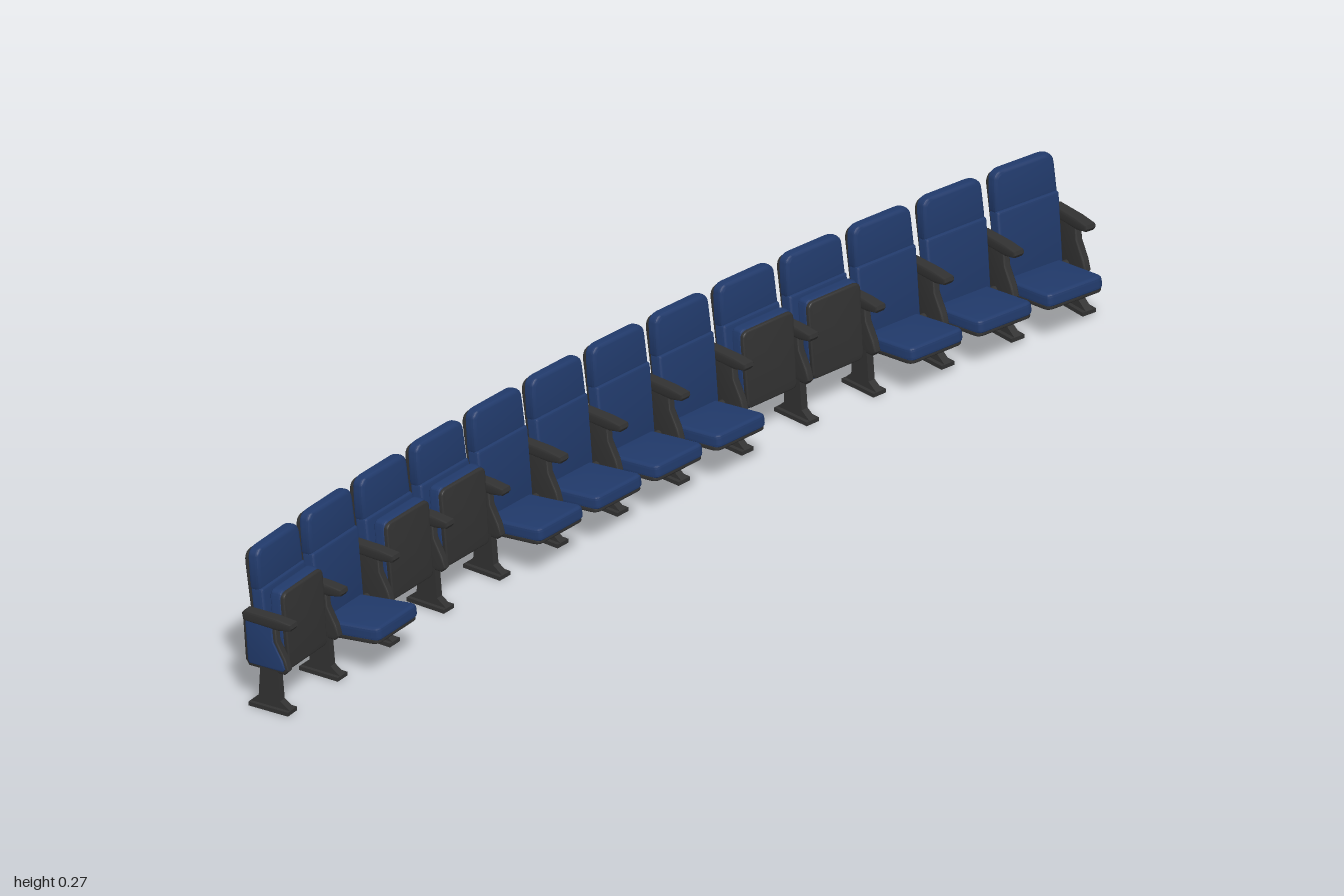
import * as THREE from 'three';
import { toCreasedNormals } from 'three/addons/utils/BufferGeometryUtils.js';

const fabric = new THREE.MeshStandardMaterial({ color: 0x213a6b });
fabric.name = 'blue fabric';
const plastic = new THREE.MeshStandardMaterial({ color: 0x313131 });
plastic.name = 'charcoal plastic';

const SEATS = 13, RADIUS = 5.8, STEP = 0.0262;
const FOLDED = [0, 2, 3, 8, 9];

function mesh(name, geometry, material, x = 0, y = 0, z = 0) {
  const m = new THREE.Mesh(geometry, material);
  m.name = name;
  m.position.set(x, y, z);
  return m;
}

// Extrudes a shape to a total depth with rounded edges, centred on z
function extrude(shape, depth, bevel) {
  const g = new THREE.ExtrudeGeometry(shape, {
    depth: depth - 2 * bevel, bevelEnabled: bevel > 0, bevelThickness: bevel,
    bevelSize: bevel, bevelOffset: -bevel, bevelSegments: 3, curveSegments: 5,
  });
  g.translate(0, 0, -depth / 2 + bevel);
  return toCreasedNormals(g, 0.7);
}

// Padded slab standing on y = 0, with its own bottom and top widths and corner radii
function pad(w0, w1, h, d, r0, r1, bevel) {
  const a = w0 / 2, b = w1 / 2, s = new THREE.Shape();
  s.moveTo(-a + r0, 0);
  s.lineTo(a - r0, 0);
  s.quadraticCurveTo(a, 0, a, r0);
  s.lineTo(b, h - r1);
  s.quadraticCurveTo(b, h, b - r1, h);
  s.lineTo(-b + r1, h);
  s.quadraticCurveTo(-b, h, -b, h - r1);
  s.lineTo(-a, r0);
  s.quadraticCurveTo(-a, 0, -a + r0, 0);
  return extrude(s, d, bevel);
}

// Side profile given as [z, y] points, extruded across x
function sideProfile(points, width, bevel) {
  const s = new THREE.Shape(points.map(([z, y]) => new THREE.Vector2(z, y)));
  return extrude(s, width, bevel).rotateY(-Math.PI / 2);
}

const geo = {
  // Backrest
  lowerPad: pad(0.128, 0.132, 0.142, 0.024, 0.012, 0.006, 0.006),
  headPad: pad(0.132, 0.128, 0.074, 0.022, 0.006, 0.022, 0.007),
  backShell: pad(0.108, 0.122, 0.192, 0.014, 0.012, 0.02, 0.004),
  // Seat pan, laid flat and reaching forward
  cushion: pad(0.118, 0.12, 0.145, 0.024, 0.012, 0.014, 0.007).rotateX(Math.PI / 2),
  panShell: pad(0.114, 0.118, 0.138, 0.009, 0.01, 0.014, 0.003).rotateX(Math.PI / 2),
  // Stand
  foot: new THREE.BoxGeometry(0.028, 0.007, 0.077),
  post: sideProfile([[-0.038, 0], [0.038, 0], [0.038, 0.007], [0.019, 0.02], [0.014, 0.075],
    [-0.02, 0.075], [-0.023, 0.02], [-0.038, 0.007]], 0.014, 0),
  panel: sideProfile([[-0.042, 0.07], [0.027, 0.07], [0.035, 0.079], [0.029, 0.098], [0.012, 0.128],
    [0.008, 0.165], [0.003, 0.17], [-0.05, 0.17], [-0.055, 0.162], [-0.049, 0.08]], 0.014, 0.003),
  inset: sideProfile([[-0.04, 0.076], [0.025, 0.076], [0.029, 0.081], [0.024, 0.096], [0.006, 0.126],
    [0.002, 0.164], [-0.045, 0.164], [-0.049, 0.159], [-0.043, 0.082]], 0.006, 0.002),
  armrest: sideProfile([[-0.052, 0.152], [0.016, 0.15], [0.04, 0.155], [0.044, 0.161], [0.042, 0.168],
    [0.01, 0.171], [-0.05, 0.171], [-0.055, 0.165]], 0.022, 0.004),
  pivot: new THREE.CylinderGeometry(0.007, 0.007, 0.14, 12).rotateZ(Math.PI / 2),
};

function makeSeat(folded) {
  const seat = new THREE.Group();
  seat.name = folded ? 'foldedSeat' : 'openSeat';

  const back = new THREE.Group();
  back.name = 'backrest';
  back.position.set(0, 0.065, -0.012);
  back.rotation.x = -0.105;
  back.add(
    mesh('lowerBackPad', geo.lowerPad, fabric, 0, 0, -0.012),
    mesh('headPad', geo.headPad, fabric, 0, 0.138, -0.015),
    mesh('backShell', geo.backShell, plastic, 0, 0.012, -0.027),
  );

  const pan = new THREE.Group();
  pan.name = 'seatPan';
  pan.position.set(0, folded ? 0.077 : 0.072, folded ? 0.004 : -0.03);
  pan.rotation.x = folded ? -Math.PI / 2 - 0.08 : -0.13;
  pan.add(
    mesh('seatCushion', geo.cushion, fabric, 0, 0, -0.015),
    mesh('seatShell', geo.panShell, plastic, 0, -0.0125, -0.011),
  );

  seat.add(back, pan, mesh('hingeBar', geo.pivot, plastic, 0, 0.076, -0.012));
  return seat;
}

// side is -1 or 1 at the ends of the row, 0 between seats
function makeStand(side) {
  const stand = new THREE.Group();
  stand.name = 'stand';
  stand.add(
    mesh('foot', geo.foot, plastic, 0, 0.0035, 0),
    mesh('post', geo.post, plastic),
    mesh('sidePanel', geo.panel, plastic),
    mesh('armrest', geo.armrest, plastic),
  );
  if (side) stand.add(mesh('sidePanelFabric', geo.inset, fabric, side * 0.0065, 0, 0));
  return stand;
}

// Places a part on the arc, turned toward its centre
function placeOnArc(part, slot) {
  const a = slot * STEP;
  part.position.set(RADIUS * Math.sin(a), 0, -0.05 + RADIUS * (1 - Math.cos(a)));
  part.rotation.y = -a;
  return part;
}

export function createModel() {
  const row = new THREE.Group();
  row.name = 'curvedSeatRow';
  const half = SEATS / 2;
  for (let i = 0; i < SEATS; i++) {
    row.add(placeOnArc(makeSeat(FOLDED.includes(i)), i - half + 0.5));
  }
  for (let i = 0; i <= SEATS; i++) {
    row.add(placeOnArc(makeStand(i === 0 ? -1 : i === SEATS ? 1 : 0), i - half));
  }
  return row;
}
